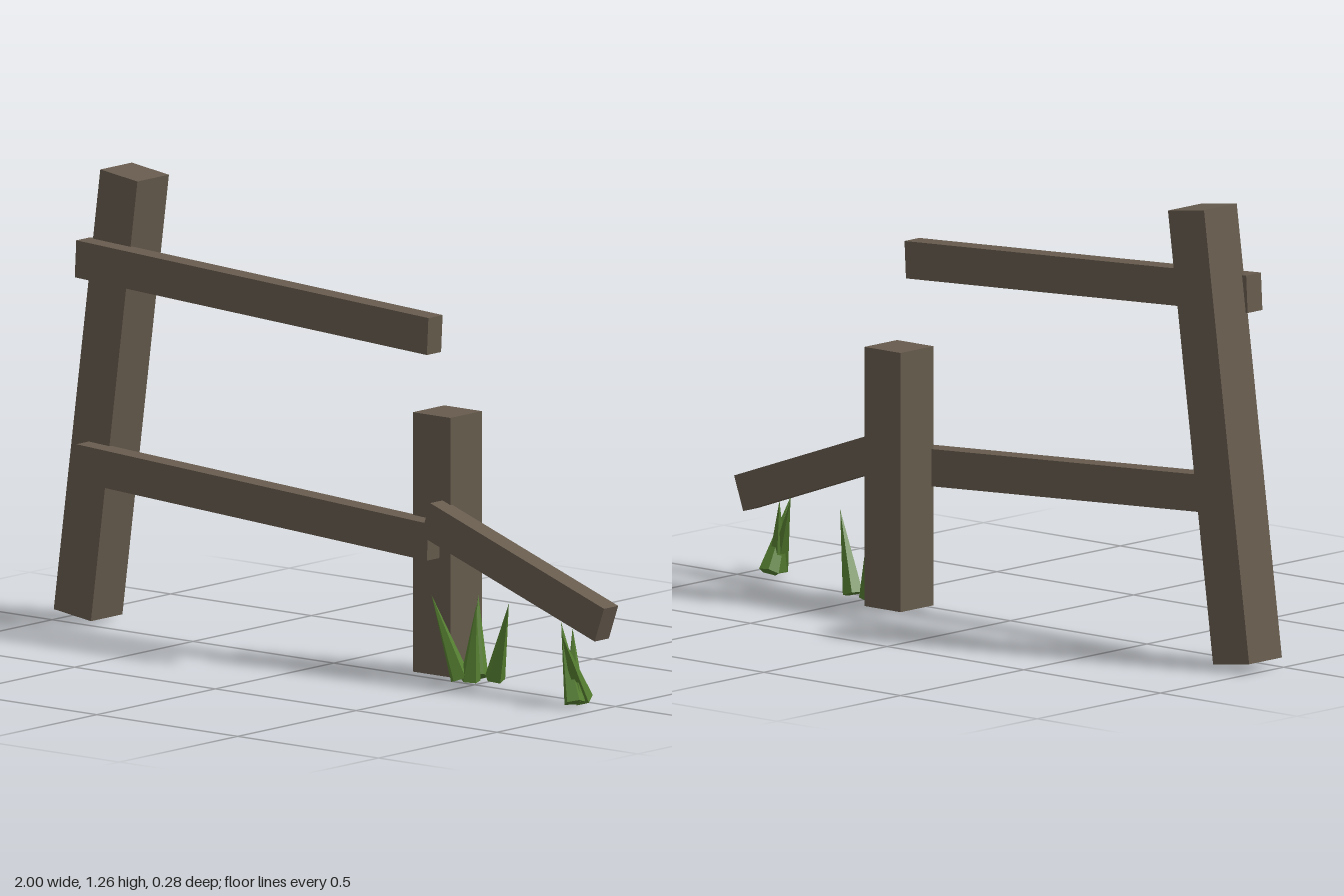
import * as THREE from 'three';

export function createModel() {
  const model = new THREE.Group();
  const wood = new THREE.MeshStandardMaterial({ color: 0x665b4d });
  wood.name = 'weathered wood';
  const green = new THREE.MeshStandardMaterial({ color: 0x567f31 });
  green.name = 'grass green';
  green.flatShading = true;

  // A timber: size, centre and tilt in the plane of the fence
  function timber(name, size, centre, tilt) {
    const mesh = new THREE.Mesh(new THREE.BoxGeometry(...size), wood);
    mesh.name = name;
    mesh.position.set(...centre);
    mesh.rotation.z = tilt;
    model.add(mesh);
  }

  // Posts: one leaning and tall, one snapped short
  timber('leaningPost', [0.133, 1.246, 0.133], [-0.852, 0.641, -0.074], -0.133);
  timber('shortPost', [0.133, 0.717, 0.133], [0.341, 0.371, -0.074], 0);

  // Rails on the front of the posts
  timber('upperRail', [1.252, 0.103, 0.06], [-0.254, 0.99, 0.015], -0.052);
  timber('lowerRail', [1.252, 0.103, 0.06], [-0.254, 0.424, 0.015], -0.056);
  timber('fallenRail', [0.655, 0.1, 0.06], [0.672, 0.342, 0.015], -0.34);

  // Grass blades: thin spikes from root to tip
  const up = new THREE.Vector3(0, 1, 0);
  function tuft(name, blades) {
    const group = new THREE.Group();
    group.name = name;
    blades.forEach(([root, tip], i) => {
      const a = new THREE.Vector3(...root);
      const b = new THREE.Vector3(...tip);
      const dir = b.clone().sub(a);
      const blade = new THREE.Mesh(new THREE.ConeGeometry(0.029, dir.length(), 5), green);
      blade.name = 'grassBlade' + (i + 1);
      blade.position.copy(a).add(b).multiplyScalar(0.5);
      blade.quaternion.setFromUnitVectors(up, dir.normalize());
      group.add(blade);
    });
    model.add(group);
  }

  tuft('postGrass', [
    [[0.475, 0.018, -0.045], [0.408, 0.225, -0.125]],
    [[0.462, 0.018, 0.015], [0.385, 0.245, 0.045]],
    [[0.485, 0.015, 0.0], [0.515, 0.23, 0.01]],
    [[0.53, 0.018, -0.05], [0.605, 0.238, -0.02]],
  ]);
  tuft('railGrass', [
    [[0.925, 0.018, 0.085], [0.845, 0.225, 0.045]],
    [[0.915, 0.018, 0.07], [0.89, 0.215, 0.05]],
    [[0.91, 0.018, 0.03], [0.925, 0.215, 0.138]],
  ]);

  return model;
}
